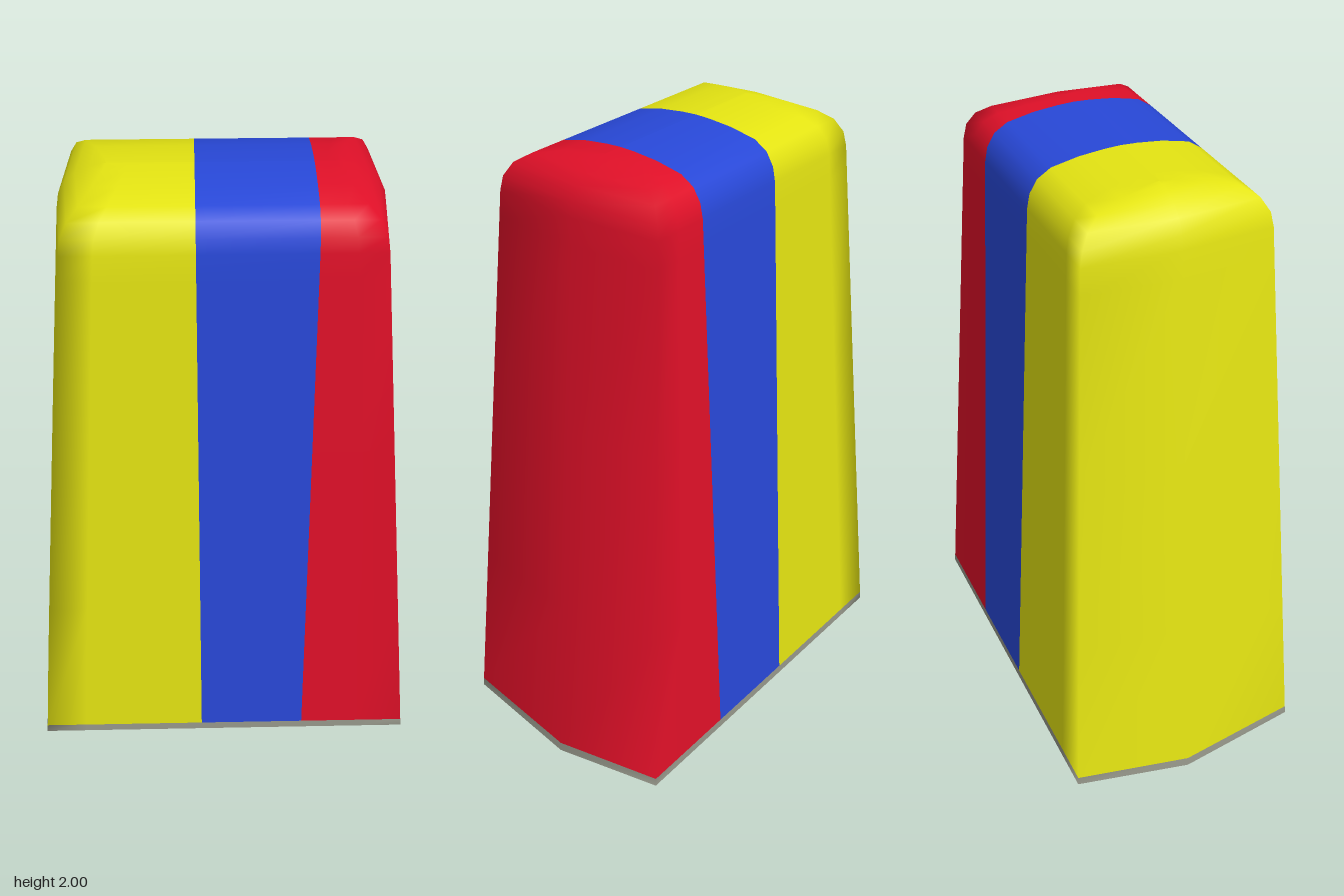
import * as THREE from 'three';

const RED_EDGE = 0.265, YELLOW_EDGE = -0.078;

// One closed six-sided ring, counter-clockwise from above, with extra columns at the stripe borders.
// xc: half length at the corners, xm: half length at the end points, z: half depth,
// y: height, drop: how far the end points hang below y
function ring({ xc, xm, z, y, drop = 0 }) {
  const xs = [
    xc,
    THREE.MathUtils.lerp(RED_EDGE, xc, 0.55),
    RED_EDGE,
    YELLOW_EDGE,
    THREE.MathUtils.lerp(YELLOW_EDGE, -xc, 0.75),
    -xc,
  ];
  return [
    [xm, y - drop, 0],
    ...xs.map((x) => [x, y, -z]),
    [-xm, y - drop, 0],
    ...xs.slice().reverse().map((x) => [x, y, z]),
  ];
}

// Skin successive rings; each list of segments becomes one material group
function loft(profile, segmentGroups) {
  const rings = profile.map(ring);
  const n = rings[0].length;
  const index = [];
  const geometry = new THREE.BufferGeometry();
  segmentGroups.forEach((segments, material) => {
    const start = index.length;
    for (const s of segments) {
      const t = (s + 1) % n;
      for (let r = 0; r < rings.length - 1; r++) {
        const a = r * n + s, b = r * n + t, c = a + n, d = b + n;
        index.push(a, b, d, a, d, c);
      }
    }
    geometry.addGroup(start, index.length - start, material);
  });
  geometry.setAttribute('position', new THREE.Float32BufferAttribute(rings.flat(2), 3));
  geometry.setIndex(index);
  geometry.computeVertexNormals();
  return geometry;
}

// Straight tapering wall at height y
function wall(y, drop = 0, inset = 0) {
  const k = (y - 0.055) / 1.805;
  return {
    xc: 0.61 - 0.152 * k - inset,
    xm: 0.64 - 0.16 * k - inset,
    z: 0.385 - 0.095 * k - inset,
    y,
    drop,
  };
}

export function createModel() {
  const mat = (name, color) => new THREE.MeshStandardMaterial({ name, color });
  const red = mat('red', 0xe01028);
  const blue = mat('blue', 0x2848d8);
  const yellow = mat('yellow', 0xe4e412);
  const grey = mat('grey', 0x96978a);

  const group = new THREE.Group();
  group.name = 'cover';
  const add = (name, geometry, material) => {
    const mesh = new THREE.Mesh(geometry, material);
    mesh.name = name;
    group.add(mesh);
  };

  // Striped outer shell with a softly rounded top
  const crown = [
    { xc: 0.452, xm: 0.473, z: 0.281, y: 1.905 },
    { xc: 0.432, xm: 0.452, z: 0.257, y: 1.945 },
    { xc: 0.4, xm: 0.42, z: 0.215, y: 1.972 },
    { xc: 0.365, xm: 0.38, z: 0.13, y: 1.99 },
    { xc: 0.34, xm: 0.345, z: 0.05, y: 1.998 },
    { xc: 0.33, xm: 0.33, z: 0, y: 2 },
  ];
  add(
    'stripedShell',
    loft(
      [wall(0.082, 0.052), wall(0.6, 0.03), wall(1.2, 0.01), wall(1.78), wall(1.86), ...crown],
      [[0, 1, 2, 11, 12, 13], [3, 10], [4, 5, 6, 7, 8, 9]],
    ),
    [red, blue, yellow],
  );

  // Bottom hem: outer band and underside
  const all = [[...Array(14).keys()]];
  const hem = wall(0.055, 0.055);
  add('hemBand', loft([hem, wall(0.082, 0.052)], all), [grey]);
  add('hemUnderside', loft([wall(0.055, 0.055, 0.02), hem], all), [grey]);

  // Hollow inside, facing inwards
  add(
    'lining',
    loft(
      [
        { xc: 0.33, xm: 0.33, z: 0, y: 1.975 },
        { xc: 0.37, xm: 0.39, z: 0.18, y: 1.955 },
        wall(1.85, 0, 0.02),
        wall(1.2, 0.01, 0.02),
        wall(0.6, 0.03, 0.02),
        wall(0.055, 0.055, 0.02),
      ],
      all,
    ),
    [grey],
  );

  return group;
}
